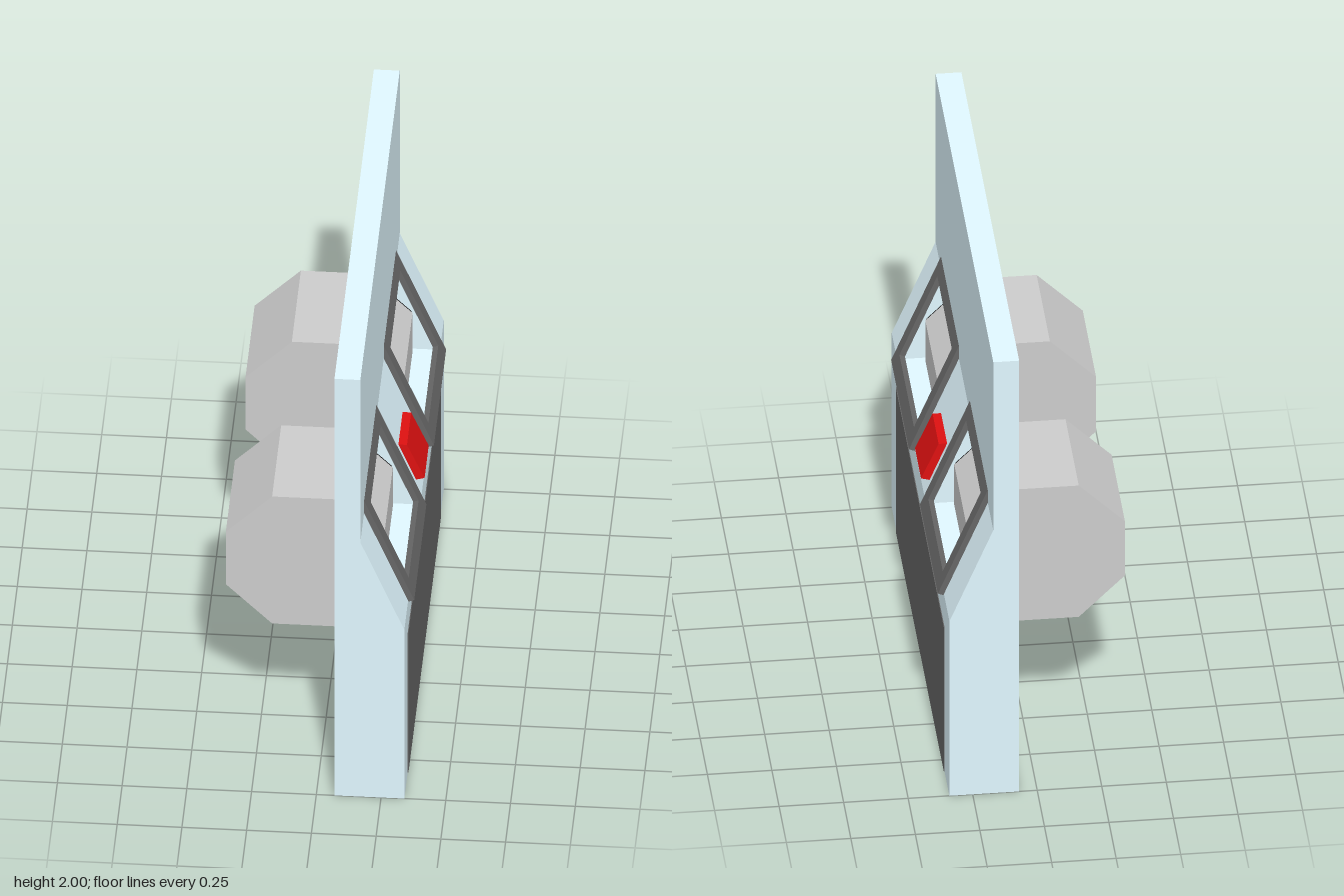
import * as THREE from 'three';

const material = (color) => new THREE.MeshStandardMaterial({ color, flatShading: true });

// Extrude an (x, y) profile between two z positions
function slab(name, points, z0, z1, mat) {
  const shape = new THREE.Shape(points.map(([x, y]) => new THREE.Vector2(x, y)));
  const geometry = new THREE.ExtrudeGeometry(shape, { depth: z1 - z0, bevelEnabled: false });
  geometry.translate(0, 0, z0);
  const mesh = new THREE.Mesh(geometry, mat);
  mesh.name = name;
  return mesh;
}

// Wall cross-section, optionally with the lower recess and the window niche
function wallProfile(hasRecess, hasNiche) {
  const base = hasRecess ? [[0.07, 0], [0.11, 0], [0.11, 0.67], [0.34, 0.67]] : [[0.07, 0], [0.34, 0]];
  const niche = hasNiche ? [[0.321, 0.855], [0.09, 0.855], [0.09, 1.195], [0.18, 1.195]] : [];
  return [...base, [0.34, 0.81], ...niche, [0.17, 1.22], [0.17, 2], [0.07, 2]];
}

// Window frame lying on the slope: local x across, y up the slope, z outwards
function windowFrame(mat) {
  const rect = (path, w, low, high) =>
    path.moveTo(-w, low).lineTo(w, low).lineTo(w, high).lineTo(-w, high).closePath();
  const shape = rect(new THREE.Shape(), 0.31, -0.45, 0);
  shape.holes.push(rect(new THREE.Path(), 0.25, -0.383, -0.03));
  const geometry = new THREE.ExtrudeGeometry(shape, { depth: 0.023, bevelEnabled: false });
  // Slant the upper edges so they end flush with the upright wall
  const pos = geometry.attributes.position;
  for (let i = 0; i < pos.count; i++) {
    if (pos.getZ(i) > 0.01) {
      if (pos.getY(i) > -0.01) pos.setY(i, 0.055);
      else if (pos.getY(i) > -0.1) pos.setY(i, 0);
    }
  }
  geometry.computeVertexNormals();
  const across = new THREE.Vector3(0, 0, -1);
  const up = new THREE.Vector3(-0.17, 0.41, 0).normalize();
  const out = new THREE.Vector3().crossVectors(across, up);
  geometry.applyMatrix4(new THREE.Matrix4().makeBasis(across, up, out).setPosition(0.17, 1.22, 0));
  const mesh = new THREE.Mesh(geometry, mat);
  mesh.name = 'windowFrame';
  return mesh;
}

export function createModel() {
  const model = new THREE.Group();
  const pale = material(0xe0f7ff);
  const dark = material(0x666666);
  const black = material(0x111111);
  const grey = material(0xcccccc);
  const red = material(0xdd1111);

  // Wall, in slices along z
  const wall = new THREE.Group();
  wall.name = 'wall';
  wall.add(slab('wallCentre', wallProfile(true, false), -0.25, 0.25, pale));
  for (const side of [-1, 1]) {
    for (const [a, b, recess, niche] of [[0.25, 0.75, true, true], [0.75, 0.83, true, false], [0.83, 1, false, false]]) {
      const [z0, z1] = side > 0 ? [a, b] : [-b, -a];
      wall.add(slab('wallSection', wallProfile(recess, niche), z0, z1, pale));
    }
  }
  model.add(wall);

  // Thin panel closing the lower recess
  const panel = new THREE.Mesh(new THREE.BoxGeometry(0.004, 0.67, 1.66), dark);
  panel.name = 'lowerPanel';
  panel.position.set(0.341, 0.335, 0);
  model.add(panel);

  // Button on the slope
  model.add(slab('button', [[0.315, 0.865], [0.35, 0.875], [0.282, 1.03], [0.249, 1.03]], -0.105, 0.105, red));

  // Two framed windows, each with an eight-sided drum behind
  for (const side of [-1, 1]) {
    const unit = new THREE.Group();
    unit.name = side > 0 ? 'leftWindow' : 'rightWindow';
    unit.position.z = side * 0.5;
    unit.add(windowFrame(dark));

    const drumGeometry = new THREE.CylinderGeometry(0.33, 0.33, 0.46, 8);
    drumGeometry.rotateY(Math.PI / 8).rotateX(Math.PI / 2);
    const drum = new THREE.Mesh(drumGeometry, grey);
    drum.name = 'drum';
    drum.position.set(-0.065, 0.915, 0);
    unit.add(drum);

    // Dark fillers beside the drum
    const filler = [[0.08, 0.855], [0.235, 0.855], [0.235, 1.035], [0.09, 1.18], [0.08, 1.18]];
    unit.add(slab('drumSide', filler, -0.249, -0.23, black), slab('drumSide', filler, 0.23, 0.249, black));
    model.add(unit);
  }
  return model;
}
